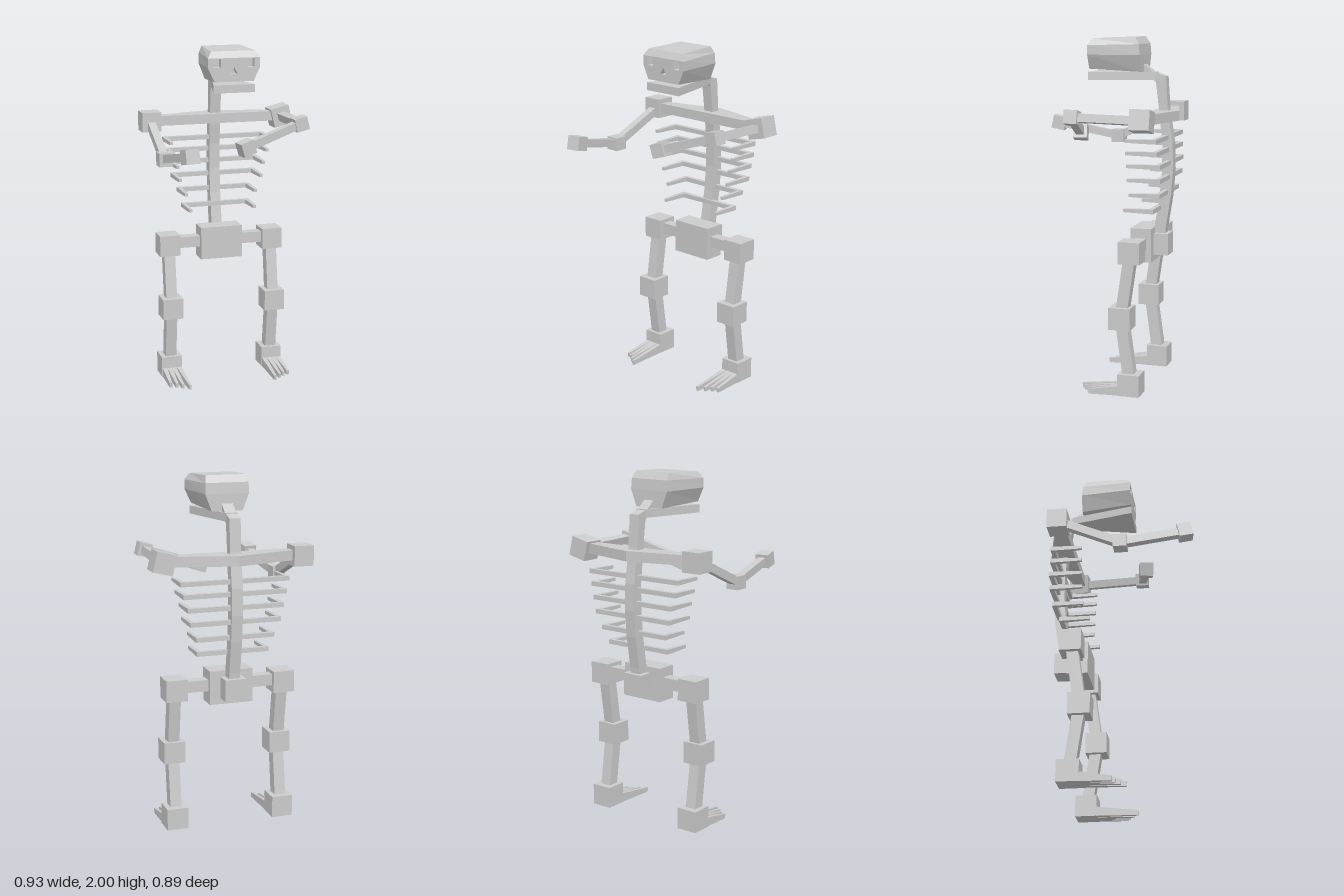
import * as THREE from 'three';

const material = new THREE.MeshStandardMaterial({ color: 0xcccccc, flatShading: true });
const V = (x, y, z) => new THREE.Vector3(x, y, z);

function add(parent, name, geometry) {
  const mesh = new THREE.Mesh(geometry, material);
  mesh.name = name;
  parent.add(mesh);
  return mesh;
}

// Skin equal-length sections (arrays of Vector3); caps are strips of quads.
// keepEnd is the index of the first end-cap quad to build.
function loft(sections, keepEnd = 0) {
  const pos = [];
  const quad = (a, b, c, d) => [a, b, c, a, c, d].forEach(p => pos.push(p.x, p.y, p.z));
  const n = sections[0].length;
  for (let s = 0; s < sections.length - 1; s++) {
    const a = sections[s], b = sections[s + 1];
    for (let i = 0; i < n; i++) {
      const j = (i + 1) % n;
      quad(a[i], a[j], b[j], b[i]);
    }
  }
  const first = sections[0], last = sections[sections.length - 1];
  for (let i = 0; i < n / 2 - 1; i++) {
    const k = [(n - i) % n, 1 + i, 2 + i, n - 1 - i];
    quad(...k.slice().reverse().map(q => first[q]));
    if (i >= keepEnd) quad(...k.map(q => last[q]));
  }
  const g = new THREE.BufferGeometry();
  g.setAttribute('position', new THREE.Float32BufferAttribute(pos, 3));
  g.computeVertexNormals();
  return g;
}

// Square bar from a to b, narrowing towards b by the factor taper
function bar(parent, name, a, b, w, taper = 1, h = w) {
  const g = new THREE.BoxGeometry(w, h, a.distanceTo(b));
  const p = g.attributes.position;
  for (let i = 0; i < p.count; i++)
    if (p.getZ(i) > 0) p.setXY(i, p.getX(i) * taper, p.getY(i) * taper);
  g.computeVertexNormals();
  const mesh = add(parent, name, g);
  mesh.position.copy(a).lerp(b, 0.5);
  mesh.lookAt(b);
  return mesh;
}

function box(parent, name, center, w, h = w, d = w) {
  const mesh = add(parent, name, new THREE.BoxGeometry(w, h, d));
  mesh.position.copy(center);
  return mesh;
}

function part(parent, name) {
  const g = new THREE.Group();
  g.name = name;
  parent.add(g);
  return g;
}

// Skull with a flat face and sunken eyes and nose, plus the jaw
function buildHead(root) {
  const head = part(root, 'head');
  const section = rows => [
    ...rows.map(([w, y, z]) => V(w, y, z)),
    ...rows.slice().reverse().map(([w, y, z]) => V(-w, y, z)),
  ];
  const ring = rows => { const s = section(rows); return [s[s.length - 1], ...s.slice(0, -1)]; };
  const zf = 0.058;
  const back = ring([[0.09, 1.805, -0.24], [0.127, 1.9, -0.24], [0.125, 1.96, -0.235], [0.115, 2, -0.21]]);
  const front = ring([[0.115, 1.82, zf], [0.153, 1.9, zf], [0.153, 1.953, zf], [0.13, 1.99, 0.037]]);
  add(head, 'skull', loft([back, front], 2));

  const face = new THREE.Shape([front[0], front[1], front[2], front[3], front[6], front[7]]
    .map(p => new THREE.Vector2(p.x, p.y)));
  const eye = x => [[x - 0.021, 1.9], [x - 0.021, 1.955 - 0.006], [x + 0.021, 1.949], [x + 0.021, 1.9]];
  const nose = [[-0.021, 1.862], [0, 1.9], [0, 1.9], [0.021, 1.862]];
  const sockets = { rightEyeSocket: eye(-0.099), leftEyeSocket: eye(0.099), noseSocket: nose };
  for (const [name, pts] of Object.entries(sockets)) {
    face.holes.push(new THREE.Path(pts.map(([x, y]) => new THREE.Vector2(x, y))));
    add(head, name, loft([zf - 0.04, zf].map(z => pts.map(([x, y]) => V(x, y, z))), 1));
  }
  add(head, 'face', new THREE.ShapeGeometry(face)).position.z = zf;

  const jaw = y => [V(-0.122, y, 0.063), V(0.122, y, 0.063), V(0.033, y, -0.31), V(-0.033, y, -0.31)];
  add(head, 'jaw', loft([jaw(1.757), jaw(1.803)]));
}

// Curved spine and neck, ribs, shoulder girdle
function buildTorso(root) {
  const torso = part(root, 'torso');
  const spine = [ // front y, front z, back y, back z
    [0.82, -0.3, 0.82, -0.365], [0.92, -0.308, 0.92, -0.374], [1.1, -0.336, 1.1, -0.402],
    [1.25, -0.35, 1.25, -0.414], [1.4, -0.35, 1.4, -0.41], [1.6, -0.328, 1.6, -0.38],
    [1.745, -0.31, 1.78, -0.367], [1.765, -0.285, 1.805, -0.29], [1.8, -0.23, 1.85, -0.235],
  ];
  add(torso, 'spine', loft(spine.map(([yf, zf, yb, zb]) =>
    [V(-0.032, yf, zf), V(0.032, yf, zf), V(0.032, yb, zb), V(-0.032, yb, zb)])));

  const ribs = [ // height, half width, back z, tip z
    [1.437, 0.315, -0.386, -0.206], [1.367, 0.3, -0.39, -0.206], [1.293, 0.278, -0.4, -0.206],
    [1.213, 0.264, -0.397, -0.206], [1.124, 0.228, -0.386, -0.206], [1.034, 0.211, -0.346, -0.17],
  ];
  for (const [y, w, zb, zt] of ribs) {
    const rib = part(torso, 'rib');
    box(rib, 'ribBack', V(0, y, zb + 0.013), 2 * w, 0.026, 0.026);
    for (const s of [-1, 1])
      bar(rib, 'ribSide', V(s * (w - 0.013), y, zb + 0.026), V(s * (w - 0.013), y, zt), 0.026, 0.7);
  }

  const girdle = y => [V(-0.36, y, -0.29), V(0.36, y, -0.29), V(0.36, y, -0.35),
    V(0, y, -0.44), V(0, y, -0.44), V(-0.36, y, -0.35)];
  add(torso, 'shoulderGirdle', loft([girdle(1.53), girdle(1.587)]));
}

// Each arm: shoulder, elbow and hand blocks joined by bars
function buildArm(root, name, shoulder, elbow, hand, roll) {
  const arm = part(root, name);
  box(arm, 'shoulder', shoulder, 0.114).rotation.z = roll;
  box(arm, 'elbow', elbow, 0.077).rotation.z = roll;
  bar(arm, 'upperArm', shoulder, elbow, 0.046).rotateZ(roll);
  bar(arm, 'forearm', elbow, hand, 0.046);
  const palm = box(arm, 'hand', hand, 0.08);
  palm.lookAt(hand.clone().multiplyScalar(2).sub(elbow));
}

// Pelvis block, tailbone and hip bar
function buildPelvis(root) {
  const pelvis = part(root, 'pelvis');
  box(pelvis, 'pelvisBlock', V(-0.003, 0.823, -0.25), 0.254, 0.194, 0.122);
  box(pelvis, 'tailbone', V(0, 0.823, -0.333), 0.124);
  box(pelvis, 'hipBar', V(0, 0.832, -0.25), 0.64, 0.065, 0.065);
}

// Each leg: hip, knee and ankle blocks, bars and four tapered toes
function buildLeg(root, s) {
  const leg = part(root, s > 0 ? 'leftLeg' : 'rightLeg');
  const x = s * 0.318 - 0.002;
  const hip = V(x, 0.823, -0.25), knee = V(x, 0.446, -0.196), ankle = V(x, 0.067, -0.25);
  box(leg, 'hip', hip, 0.124);
  box(leg, 'knee', knee, 0.124);
  box(leg, 'ankle', ankle, 0.124);
  bar(leg, 'thigh', hip, knee, 0.066);
  bar(leg, 'shin', knee, ankle, 0.066);
  const toes = [[-0.052, 0.05], [-0.015, 0.025], [0.016, 0], [0.05, -0.015]];
  for (const [dx, tip] of toes)
    bar(leg, 'toe', V(x + s * dx * 0.85, 0.033, -0.2), V(x + s * dx, 0.015, tip), 0.03, 0.5, 0.055);
}

export function createModel() {
  const root = new THREE.Group();
  root.name = 'skeleton';
  material.side = THREE.DoubleSide;
  buildHead(root);
  buildTorso(root);
  buildPelvis(root);
  buildArm(root, 'rightArm', V(-0.401, 1.556, -0.328), V(-0.403, 1.395, 0.032), V(-0.35, 1.47, 0.395), 0);
  buildArm(root, 'leftArm', V(0.4, 1.556, -0.328), V(0.394, 1.565, 0.068), V(0.048, 1.453, 0.13), 0.24);
  for (const s of [-1, 1]) buildLeg(root, s);
  return root;
}
